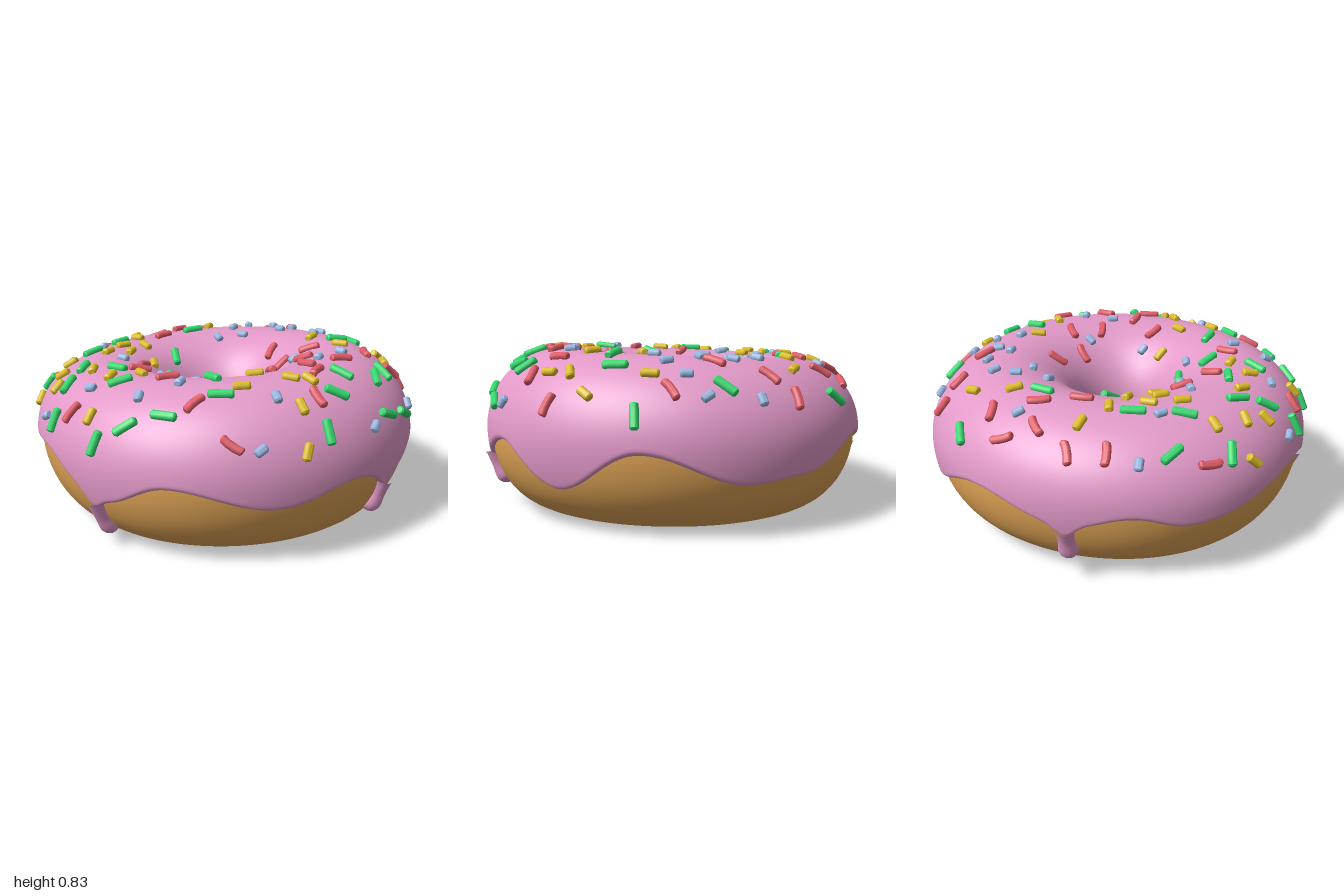
import * as THREE from 'three';
import { mergeVertices, toCreasedNormals } from 'three/addons/utils/BufferGeometryUtils.js';

const RING = 0.595, MID = 0.4, RAD = 0.37, DROP = 0.4, RISE = 0.35, ICING = 0.022;
const rad = THREE.MathUtils.degToRad;

// Point on the ring: a = angle around from the front, t = angle round the tube (0 outside, 90 deg on top)
function surface(a, t, off = 0) {
  const c = Math.cos(t), s = Math.sin(t);
  const wide = s < 0 ? Math.sign(c) * Math.pow(Math.abs(c), 0.8) : c;
  // slightly uneven outline and a gentle tilt of the top
  const uneven = 0.008 * Math.cos(4 * a) - 0.008 * Math.cos(a) - 0.004;
  const r = RING + (RAD + off) * wide + uneven * Math.max(0, c);
  const y = MID + s * ((s < 0 ? DROP : RISE) + off) + 0.027 * Math.sin(a) * Math.max(0, s);
  return new THREE.Vector3(r * Math.sin(a), y, r * Math.cos(a));
}

function normalAt(a, t) {
  const e = 0.002;
  const da = surface(a + e, t, ICING).sub(surface(a - e, t, ICING));
  const dt = surface(a, t + e, ICING).sub(surface(a, t - e, ICING));
  return da.cross(dt).normalize();
}

// Band of quads around the ring from cross-sections
function band(steps, rows, closed, point) {
  const pos = [], idx = [];
  for (let i = 0; i < steps; i++) {
    for (let j = 0; j < rows; j++) pos.push(...point((i / steps) * Math.PI * 2, j).toArray());
  }
  for (let i = 0; i < steps; i++) {
    const k = (i + 1) % steps;
    for (let j = 0; j < (closed ? rows : rows - 1); j++) {
      const n = (j + 1) % rows;
      const p = i * rows + j, q = k * rows + j, u = k * rows + n, v = i * rows + n;
      idx.push(p, q, u, p, u, v);
    }
  }
  const g = new THREE.BufferGeometry();
  g.setAttribute('position', new THREE.Float32BufferAttribute(pos, 3));
  g.setIndex(idx);
  g.computeVertexNormals();
  return g;
}

// Crests and troughs of the icing rim: [degrees around, height]
const RIM = [[-180, 0.27], [-151, 0.4], [-124, 0.31], [-106, 0.37], [-90, 0.31], [-48, 0.41], [-20, 0.27],
  [0, 0.39], [30, 0.29], [53, 0.36], [70, 0.3], [90, 0.39], [112, 0.21], [136, 0.39], [165, 0.25], [180, 0.27]];
// Drips: [degrees around, height of the tip]
const DRIPS = [[-24, 0.07], [68, 0.11], [-124, 0.12]];

function rimHeight(a) {
  let d = THREE.MathUtils.radToDeg(a);
  if (d > 180) d -= 360;
  let k = 0;
  while (k < RIM.length - 2 && d > RIM[k + 1][0]) k++;
  const [d0, y0] = RIM[k], [d1, y1] = RIM[k + 1];
  const f = (d - d0) / (d1 - d0);
  let y = y0 + (y1 - y0) * (1 - Math.cos(Math.PI * f)) / 2;
  for (const [at] of DRIPS) y -= 0.055 * Math.exp(-(((d - at) / 3.5) ** 2));
  return y;
}
const tubeAngle = y => Math.asin((y - MID) / DROP);

function icingGeometry() {
  const lip = [0, 0.004, 0.015, 0.035, 0.06, 0.09], n = 44, m = lip.length, rows = n + 2 * m;
  return band(240, rows, false, (a, j) => {
    const start = tubeAngle(rimHeight(a));
    const end = Math.PI + 0.08 + 0.06 * Math.sin(4 * a);
    let t;
    if (j < m) t = start + lip[j];
    else if (j >= rows - m) t = end - lip[rows - 1 - j];
    else t = start + 0.09 + (end - start - 0.18) * (j - m + 1) / (n + 1);
    // rounded lip at both rims
    const d = Math.min(1, Math.min(t - start, end - t) / 0.06);
    return surface(a, t, -0.006 + (ICING + 0.006) * Math.sqrt(Math.max(0, 1 - (1 - d) ** 2)));
  });
}

// Drip: tube down the side with a narrow neck and a round bulb
function dripGeometry(deg, tip) {
  const a = rad(deg), t0 = tubeAngle(rimHeight(a)) + 0.1, t1 = tubeAngle(tip), pts = [];
  for (let i = 0; i <= 6; i++) pts.push(surface(a, t0 + (t1 - t0) * i / 6));
  const curve = new THREE.CatmullRomCurve3(pts), segs = 28, sides = 14;
  let g = new THREE.TubeGeometry(curve, segs, 1, sides);
  const p = g.attributes.position, v = new THREE.Vector3(), length = curve.getLength();
  for (let i = 0; i < p.count; i++) {
    const u = Math.floor(i / (sides + 1)) / segs, c = curve.getPointAt(u);
    const left = (1 - u) * length;
    let r = 0.037 + 0.013 * Math.exp(-(((left - 0.05) / 0.05) ** 2)) + 0.012 * (1 - u) ** 4;
    if (left < 0.05) r *= Math.sqrt(Math.max(0, 1 - (1 - left / 0.05) ** 2));
    v.fromBufferAttribute(p, i).sub(c).multiplyScalar(r).add(c);
    p.setXYZ(i, v.x, v.y, v.z);
  }
  g.deleteAttribute('normal');
  g.deleteAttribute('uv');
  g = mergeVertices(g);
  g.computeVertexNormals();
  return g;
}

// Sprinkle: short bevelled rod along x, optionally bent
function sprinkleGeometry(length, r, bend) {
  const h = length / 2, b = r * 0.35;
  const prof = [[0, -h], [r - b, -h], [r, -h + b], [r, -h / 3], [r, h / 3], [r, h - b], [r - b, h], [0, h]];
  const g = new THREE.LatheGeometry(prof.map(q => new THREE.Vector2(...q)), 10);
  g.rotateZ(-Math.PI / 2);
  const p = g.attributes.position;
  for (let i = 0; i < p.count; i++) p.setZ(i, p.getZ(i) + bend * (p.getX(i) ** 2 - h * h / 2));
  return toCreasedNormals(g, 0.7);
}

const SPRINKLES = [
  { name: 'green', color: 0x34d96f, length: 0.118, r: 0.021, bend: 0 },
  { name: 'red', color: 0xe05c68, length: 0.112, r: 0.02, bend: 2.2 },
  { name: 'yellow', color: 0xdcbc28, length: 0.082, r: 0.021, bend: 0 },
  { name: 'blue', color: 0x9ab6e0, length: 0.06, r: 0.021, bend: 0 }];
const SPRINKLE_COUNT = 120;

// Seeded random numbers from 0 to 1
function seeded(seed) {
  return () => {
    seed = (seed * 16807) % 2147483647;
    return seed / 2147483647;
  };
}

// Even scatter seen from above: of several tries, keep the one farthest from its neighbours
function scatter(count, random) {
  const spots = [];
  while (spots.length < count) {
    let best = null, bestGap = -1;
    for (let i = 0; i < 8; i++) {
      const r = Math.sqrt(0.31 ** 2 + random() * (0.96 ** 2 - 0.31 ** 2)), a = random() * Math.PI * 2;
      const spot = new THREE.Vector2(r * Math.sin(a), r * Math.cos(a));
      const gap = Math.min(9, ...spots.map(s => s.distanceTo(spot)));
      if (gap > bestGap) [best, bestGap] = [spot, gap];
    }
    spots.push(best);
  }
  return spots;
}

function material(name, color) {
  const m = new THREE.MeshStandardMaterial({ color });
  m.name = name;
  return m;
}

export function createModel() {
  const model = new THREE.Group();
  model.name = 'doughnut';
  const add = (parent, name, geometry, mat) => {
    const mesh = new THREE.Mesh(geometry, mat);
    mesh.name = name;
    parent.add(mesh);
    return mesh;
  };

  // Dough ring
  const dough = band(120, 64, true, (a, j) => surface(a, (j / 64) * Math.PI * 2));
  add(model, 'dough', dough, material('dough brown', 0xe0a456));

  // Icing and its drips
  const pink = material('icing pink', 0xe299c8);
  add(model, 'icing', icingGeometry(), pink);
  for (const [deg, tip] of DRIPS) add(model, 'icingDrip', dripGeometry(deg, tip), pink);

  // Sprinkles lying on the icing, the colours taking turns
  const random = seeded(4711), spots = scatter(SPRINKLE_COUNT, random);
  SPRINKLES.forEach(({ name, color, length, r, bend }, k) => {
    const group = new THREE.Group();
    group.name = name + 'Sprinkles';
    model.add(group);
    const geometry = sprinkleGeometry(length, r, bend), mat = material('sprinkle ' + name, color);
    for (let i = k; i < spots.length; i += SPRINKLES.length) {
      const a = Math.atan2(spots[i].x, spots[i].y), h = random() * Math.PI;
      const t = Math.acos((spots[i].length() - RING) / (RAD + ICING));
      const n = normalAt(a, t);
      const dir = new THREE.Vector3(Math.cos(h), 0, -Math.sin(h));
      dir.y = -n.dot(dir) / n.y;
      dir.normalize();
      const mesh = add(group, name + 'Sprinkle', geometry, mat);
      mesh.position.copy(surface(a, t, ICING)).addScaledVector(n, 0.008);
      mesh.quaternion.setFromRotationMatrix(new THREE.Matrix4().makeBasis(dir, n, dir.clone().cross(n)));
    }
  });
  return model;
}
